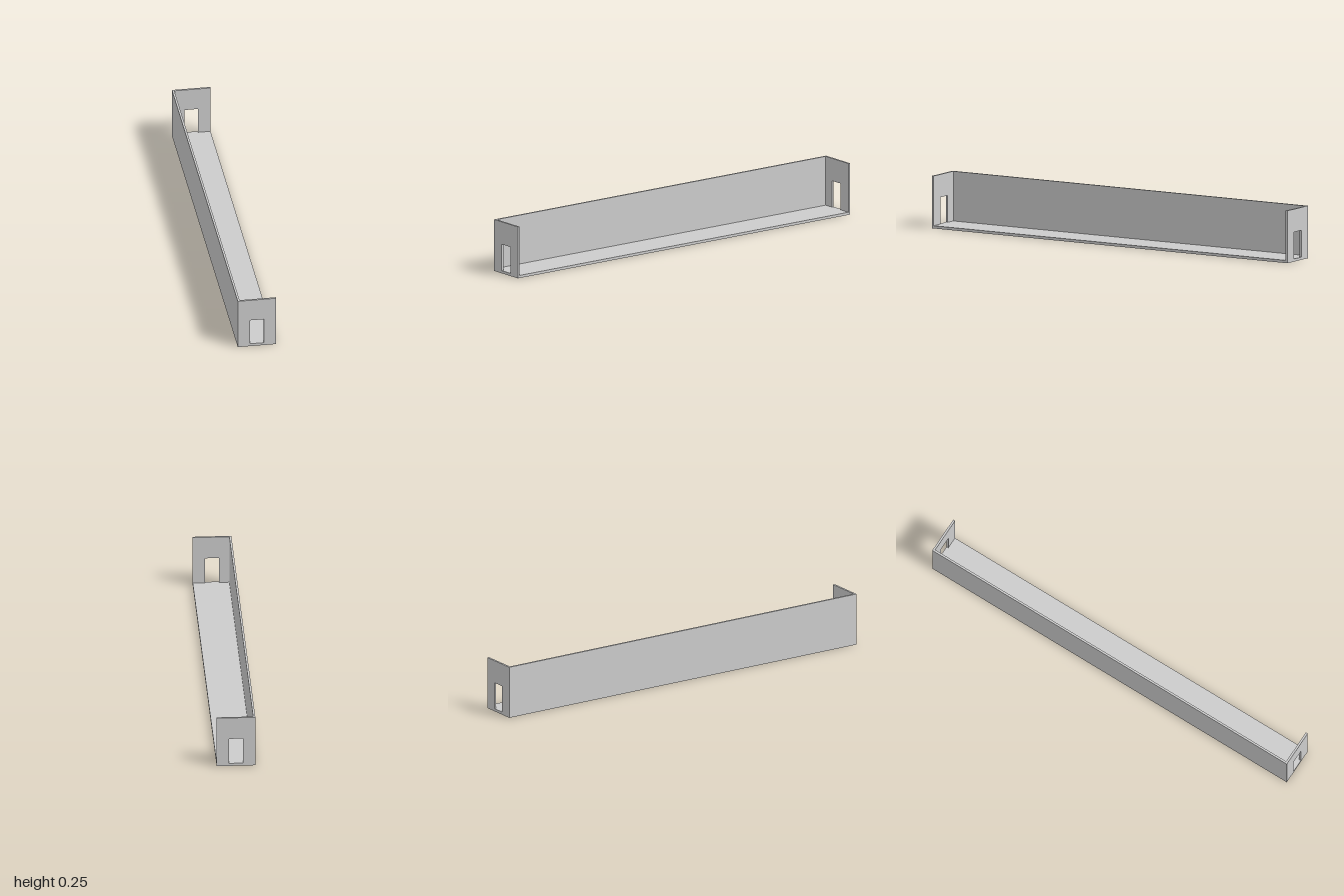
import * as THREE from 'three';

const W = 0.184, H = 0.252, L = 2;    // overall width, height, length
const FLOOR = 0.013, WALL = 0.01;     // thicknesses
const DOOR_W = 0.066, DOOR_TOP = 0.142;

export function createModel() {
  const group = new THREE.Group();
  const material = new THREE.MeshStandardMaterial({ color: 0xcccccc, flatShading: true });

  const add = (name, geometry, x, y, z) => {
    const mesh = new THREE.Mesh(geometry, material);
    mesh.name = name;
    mesh.position.set(x, y, z);
    group.add(mesh);
  };

  // Floor slab under everything
  add('floor', new THREE.BoxGeometry(W, FLOOR, L), 0, FLOOR / 2, 0);

  // One long wall on the right; the left side and the top stay open
  const wallH = H - FLOOR;
  add('sideWall', new THREE.BoxGeometry(WALL, wallH, L - 2 * WALL),
    -W / 2 + WALL / 2, FLOOR + wallH / 2, 0);

  // End walls: an arch-like outline whose doorway reaches down to the floor
  const w = W / 2, d = DOOR_W / 2;
  const outline = new THREE.Shape([
    [-w, FLOOR], [-d, FLOOR], [-d, DOOR_TOP], [d, DOOR_TOP],
    [d, FLOOR], [w, FLOOR], [w, H], [-w, H],
  ].map(([x, y]) => new THREE.Vector2(x, y)));
  const endGeometry = new THREE.ExtrudeGeometry(outline, { depth: WALL, bevelEnabled: false });
  add('frontDoorWall', endGeometry, 0, 0, L / 2 - WALL);
  add('backDoorWall', endGeometry, 0, 0, -L / 2);

  return group;
}
